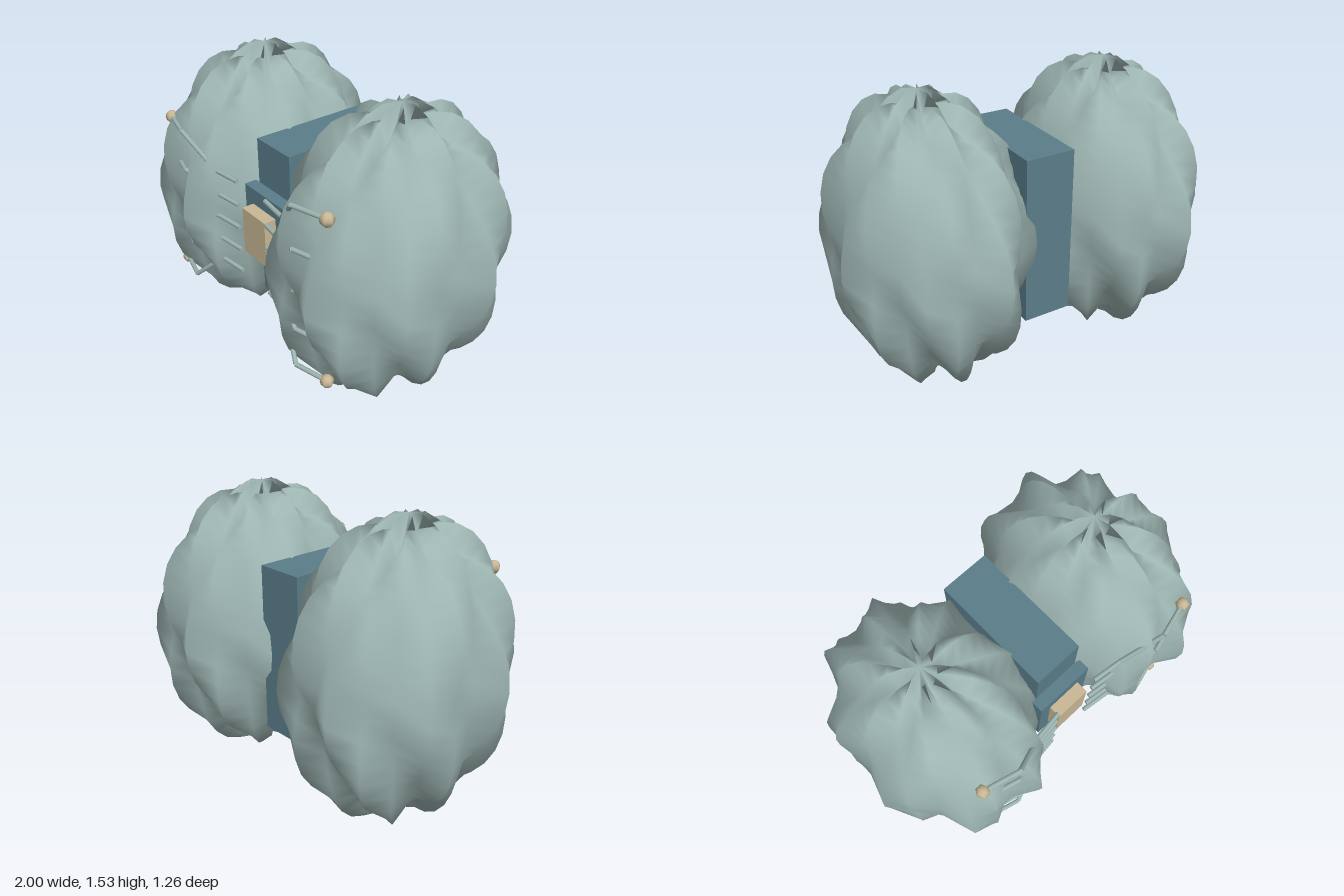
import * as THREE from 'three';
import { mergeVertices } from 'three/addons/utils/BufferGeometryUtils.js';

const MID_Y = 0.78;

const mat = (name, color) => {
  const m = new THREE.MeshStandardMaterial({ color });
  m.name = name;
  return m;
};

// Ellipsoid with eight pleats that swirl the same way from the waist to both poles
function lobeGeometry() {
  let g = new THREE.SphereGeometry(1, 24, 24);
  g.deleteAttribute('uv');
  g.deleteAttribute('normal');
  g = mergeVertices(g, 1e-4);
  const p = g.attributes.position;
  for (let i = 0; i < p.count; i++) {
    const x = p.getX(i), y = p.getY(i), z = p.getZ(i);
    const ring = Math.hypot(x, z);
    const latitude = Math.atan2(Math.abs(y), ring);
    const crest = Math.PI / 6 - latitude / 2;
    const r = ring < 1e-3 ? 1.08 : 1 + 0.1 * Math.cos(8 * (Math.atan2(z, x) - crest));
    p.setXYZ(i, x * r * 0.46, y * r * 0.71, z * r * 0.593);
  }
  g.computeVertexNormals();
  return g;
}

export function createModel() {
  const root = new THREE.Group();
  root.name = 'twinLobeDevice';
  const shell = mat('pale grey green', 0x9db5b2);
  const body = mat('slate blue', 0x5a7d8a);
  const tan = mat('tan', 0xc9b896);

  const add = (name, geo, material, x, y, z, parent = root) => {
    const m = new THREE.Mesh(geo, material);
    m.name = name;
    m.position.set(x, y, z);
    parent.add(m);
    return m;
  };

  // Central housing, front plate and tan block
  add('housing', new THREE.BoxGeometry(0.26, 0.895, 0.64), body, 0, 0.7825, 0);
  add('frontPlate', new THREE.BoxGeometry(0.32, 0.42, 0.065), body, 0, 0.78, 0.3525);
  add('frontBlock', new THREE.BoxGeometry(0.19, 0.255, 0.065), tan, 0, 0.7775, 0.4175);

  // Two identical pleated lobes
  const lobe = lobeGeometry();
  add('leftLobe', lobe, shell, 0.51, MID_Y, 0);
  add('rightLobe', lobe, shell, -0.51, MID_Y, 0);

  // Straight round rod between two points
  const rod = (a, b, parent) => {
    const dir = b.clone().sub(a);
    const m = add('wireSegment', new THREE.CylinderGeometry(0.012, 0.012, dir.length(), 8), shell, 0, 0, 0, parent);
    m.position.copy(a).add(b).multiplyScalar(0.5);
    m.quaternion.setFromUnitVectors(new THREE.Vector3(0, 1, 0), dir.normalize());
  };

  // Five bent wires on each side, each ending in a bead
  const bead = new THREE.SphereGeometry(0.034, 6, 6);
  for (const side of [1, -1]) {
    for (let row = -2; row <= 2; row++) {
      const wire = new THREE.Group();
      wire.name = side > 0 ? 'leftWire' : 'rightWire';
      root.add(wire);
      const y0 = MID_Y + row * 0.132, y1 = MID_Y + row * 0.219;
      const pts = [[0.12, y0, 0.455], [0.28, y0, 0.475], [0.46, y1, 0.55], [0.637, y1, 0.503]]
        .map(([x, y, z]) => new THREE.Vector3(side * x, y, z));
      for (let i = 0; i < 3; i++) rod(pts[i], pts[i + 1], wire);
      add('bead', bead, tan, pts[3].x, y1, pts[3].z, wire);
    }
  }
  return root;
}
